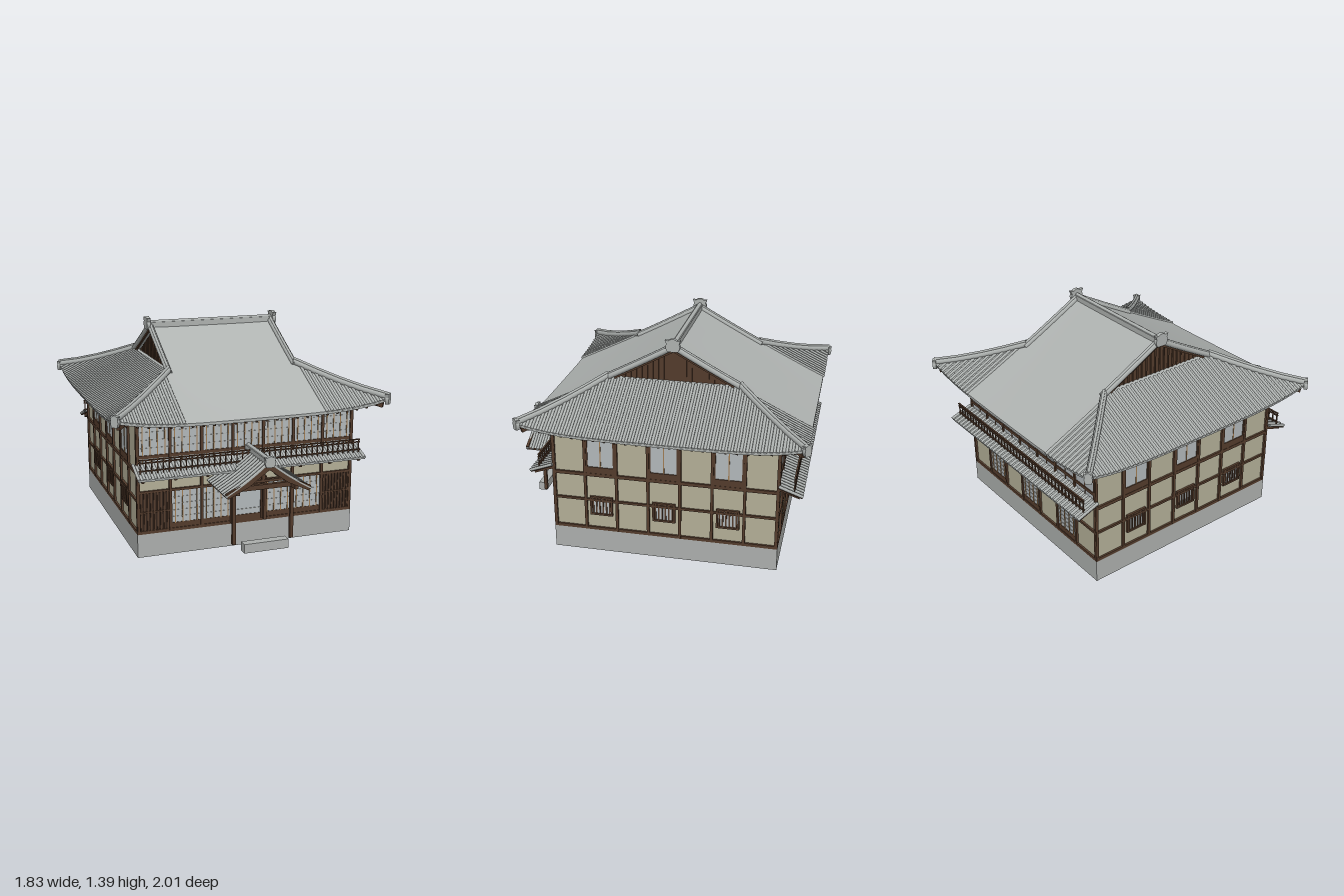
import * as THREE from 'three';
import { mergeGeometries } from 'three/addons/utils/BufferGeometryUtils.js';

const V = (x, y, z) => new THREE.Vector3(x, y, z);
const mat = (name, color, side = THREE.FrontSide) => {
  const m = new THREE.MeshStandardMaterial({ color, side });
  m.name = name;
  return m;
};

export function createModel() {
  const stone = mat('stone', 0xadb0ae);
  const plaster = mat('plaster', 0xb4b098);
  const timber = mat('timber', 0x543c2c, THREE.DoubleSide);
  const darkTimber = mat('dark timber', 0x32241b);
  const tile = mat('roof tile', 0xafb3b1, THREE.DoubleSide);
  const paper = mat('window paper', 0xb3b9bb);
  const lattice = mat('lattice wood', 0xa07c52);

  const root = new THREE.Group();
  root.name = 'house';
  const house = new THREE.Group();
  house.name = 'building';
  house.position.z = -0.095;
  root.add(house);

  const add = (parent, name, geo, m, x = 0, y = 0, z = 0) => {
    const mesh = new THREE.Mesh(geo, m);
    mesh.name = name;
    mesh.position.set(x, y, z);
    parent.add(mesh);
    return mesh;
  };
  const box = (parent, name, m, w, h, d, x, y, z) => add(parent, name, new THREE.BoxGeometry(w, h, d), m, x, y, z);
  // Box stretched between two points
  const beam = (parent, name, m, p, q, w, h) => {
    const mid = p.clone().add(q).multiplyScalar(0.5);
    const mesh = box(parent, name, m, w, h, p.distanceTo(q), mid.x, mid.y, mid.z);
    mesh.quaternion.setFromRotationMatrix(new THREE.Matrix4().lookAt(q, p, V(0, 1, 0)));
    return mesh;
  };
  // Curved sheet from a rule fn(u, v)
  const sheet = (parent, name, m, nu, nv, fn) => {
    const g = new THREE.PlaneGeometry(1, 1, nu, nv), p = g.attributes.position;
    for (let i = 0; i < p.count; i++) p.setXYZ(i, ...fn(p.getX(i) + 0.5, 0.5 - p.getY(i)).toArray());
    g.computeVertexNormals();
    return add(parent, name, g, m);
  };
  // Round tile roll along a path, capped at its lower end
  const roll = (pts, r, sides = 6) => {
    const curve = new THREE.CatmullRomCurve3(pts);
    const cap = new THREE.CircleGeometry(r, sides);
    cap.applyQuaternion(new THREE.Quaternion().setFromUnitVectors(V(0, 0, 1), curve.getTangent(1)));
    cap.translate(...curve.getPoint(1).toArray());
    return mergeGeometries([new THREE.TubeGeometry(curve, 4, r, sides), cap]);
  };
  const path = (n, fn) => Array.from({ length: n + 1 }, (_, i) => fn(i / n));
  // Horned end tile
  const ornament = (parent, w, h, x, y, z, turn) => {
    const s = new THREE.Shape();
    s.moveTo(-w * 0.32, 0);
    s.lineTo(w * 0.32, 0);
    s.quadraticCurveTo(w * 0.55, h * 0.35, w * 0.4, h * 0.6);
    s.lineTo(w * 0.5, h * 0.9);
    s.lineTo(w * 0.28, h * 0.86);
    s.quadraticCurveTo(0, h * 1.12, -w * 0.28, h * 0.86);
    s.lineTo(-w * 0.5, h * 0.9);
    s.lineTo(-w * 0.4, h * 0.6);
    s.quadraticCurveTo(-w * 0.55, h * 0.35, -w * 0.32, 0);
    const g = new THREE.ExtrudeGeometry(s, { depth: 0.024, bevelEnabled: false, curveSegments: 5 });
    g.translate(0, 0, -0.012);
    add(parent, 'endTile', g, tile, x, y, z).rotation.y = turn;
  };

  const W = 0.728, BAY = 1.434 / 7, EAVE = 0.885, HIP = 0.4425;
  const fall = (a) => 1.33 - 0.56 * a + 0.05 * a * a;
  const roofY = (a, b) => fall(a) + 0.055 * Math.pow(Math.abs(b) / EAVE, 4);

  // Core walls and floor
  box(house, 'walls', plaster, 1.43, 0.77, 1.43, 0, 0.535, 0);
  box(house, 'floor', stone, 1.44, 0.008, 1.44, 0, 0.146, 0);

  const bars = (g, name, m, x, y0, y1, w, n, z, t) => {
    for (let i = 0; i < n; i++) box(g, name, m, t, y1 - y0, 0.006, x - w / 2 + (w * (i + 0.5)) / n, (y0 + y1) / 2, z);
  };
  const slidingScreen = (g, x, y0, y1) => {
    box(g, 'screen', paper, 0.19, y1 - y0, 0.006, x, (y0 + y1) / 2, 0.717);
    bars(g, 'screenBar', lattice, x, y0, y1, 0.19, 4, 0.721, 0.006);
    for (let i = 1; i < 5; i++) box(g, 'screenRung', stone, 0.185, 0.003, 0.004, x, y0 + ((y1 - y0) * i) / 5, 0.721);
  };

  for (let k = 0; k < 4; k++) {
    const g = new THREE.Group();
    g.name = ['frontSide', 'leftSide', 'backSide', 'rightSide'][k];
    g.rotation.y = (k * Math.PI) / 2;
    house.add(g);
    const gabled = k % 2 === 1;

    // Foundation and timber frame
    box(g, 'foundation', stone, 2 * W, 0.15, 0.008, 0, 0.075, W - 0.004);
    const midY = k === 0 ? 0.42 : 0.365;
    for (const [y, h] of [[0.16, 0.02], [midY, 0.015], [0.545, 0.022], [0.86, 0.025]])
      box(g, 'rail', timber, 2 * W, h, 0.02, 0, y, W - 0.01);
    for (let i = 0; i < 8; i++) box(g, 'post', timber, 0.018, 0.71, 0.022, (i - 3.5) * BAY, 0.51, W - 0.01);

    // Windows, bay by bay
    for (let i = 0; i < 7; i++) {
      const x = (i - 3) * BAY, odd = i % 2 === 1;
      if (gabled && odd) {
        box(g, 'upperWindow', paper, 0.175, 0.25, 0.006, x, 0.725, 0.717);
        box(g, 'windowApron', timber, 0.19, 0.05, 0.012, x, 0.575, 0.72);
        for (const s of [-1, 1]) box(g, 'windowJamb', timber, 0.01, 0.25, 0.012, x + s * 0.088, 0.725, 0.72);
        box(g, 'mullion', lattice, 0.007, 0.25, 0.008, x, 0.725, 0.719);
        box(g, 'lowerWindow', paper, 0.14, 0.12, 0.006, x, 0.325, 0.717);
        for (const s of [-1, 1]) {
          box(g, 'windowFrame', timber, 0.148, 0.012, 0.016, x, 0.325 + s * 0.06, 0.722);
          box(g, 'windowFrame', timber, 0.012, 0.13, 0.016, x + s * 0.068, 0.325, 0.722);
        }
        bars(g, 'windowBar', timber, x, 0.265, 0.385, 0.13, 6, 0.724, 0.009);
      }
      if (!gabled) {
        if (k === 0) slidingScreen(g, x, 0.6, 0.85);
        else {
          box(g, 'upperWindow', paper, 0.19, 0.25, 0.006, x, 0.725, 0.717);
          box(g, 'mullion', timber, 0.007, 0.25, 0.008, x, 0.725, 0.719);
        }
        box(g, 'windowSill', timber, 0.19, 0.02, 0.012, x, 0.645, 0.72);
      }
      if (k === 0 && (i === 0 || i === 6)) {
        box(g, 'slatBacking', darkTimber, 0.19, 0.25, 0.006, x, 0.29, 0.717);
        bars(g, 'slat', timber, x, 0.165, 0.415, 0.19, 9, 0.724, 0.009);
        box(g, 'slatRail', timber, 0.19, 0.01, 0.01, x, 0.29, 0.724);
      } else if ((k === 0 && i !== 3) || (k === 2 && odd)) {
        slidingScreen(g, x, 0.2, midY - 0.007);
        box(g, 'screenFoot', timber, 0.19, 0.035, 0.008, x, 0.187, 0.719);
      }
    }

    // Main roof slope: sheet, eave edge, soffit, rafters and tile rolls
    const top = gabled ? 0.39 : 0;
    const half = (a) => (gabled ? Math.max(a, 0.41) : Math.max(a, HIP));
    sheet(g, 'roofSlope', tile, 24, 10, (u, v) => {
      const a = top + (EAVE - top) * v, b = (2 * u - 1) * half(a);
      return V(b, roofY(gabled ? Math.max(a, 0.43) : a, b), a);
    });
    sheet(g, 'eaveEdge', tile, 24, 1, (u, v) => {
      const b = (2 * u - 1) * EAVE;
      return V(b, roofY(EAVE, b) - 0.018 * v, EAVE);
    });
    sheet(g, 'soffit', timber, 24, 3, (u, v) => {
      const a = 0.7 + (EAVE - 0.7) * v, b = (2 * u - 1) * a;
      return V(b, roofY(a, b) - 0.018, a);
    });
    for (let i = -12; i <= 12; i++) {
      const b = i * 0.068, a = Math.max(0.7, Math.abs(b));
      beam(g, 'rafter', timber, V(b, roofY(a, b) - 0.03, a), V(b, roofY(0.87, b) - 0.03, 0.87), 0.014, 0.02);
    }
    const rolls = [];
    for (let i = -24; i <= 24; i++) {
      const b = i * 0.0358, m = Math.abs(b);
      if (!gabled && m < 0.445) continue;
      const a0 = Math.max(m, 0.43);
      rolls.push(roll(path(3, (t) => {
        const a = a0 + (EAVE + 0.006 - a0) * t;
        return V(b, roofY(a, b) + 0.001, a);
      }), 0.0105));
    }
    add(g, 'tileRolls', mergeGeometries(rolls), tile);

    // Hip ridge at one corner of each side
    const hip = (t, lift) => {
      const a = 0.43 + (0.885 - 0.43) * t;
      return V(a, roofY(a, a) + lift, a);
    };
    add(g, 'hipRidge', roll(path(5, (t) => hip(t, 0.012)), 0.021, 8), tile);
    add(g, 'hipRidgeCap', roll(path(5, (t) => hip(t, 0.032)), 0.01, 6), tile);
    ornament(g, 0.055, 0.075, 0.886, 0.892, 0.886, Math.PI / 4);
    beam(g, 'hipRafter', timber, V(0.7, 0.935, 0.7), V(0.865, 0.88, 0.865), 0.025, 0.028);

    if (gabled) {
      // Gable wall with slats, and the ridges running down its edges
      const s = new THREE.Shape([new THREE.Vector2(-0.42, 1.085), new THREE.Vector2(0.42, 1.085), new THREE.Vector2(0, 1.32)]);
      add(g, 'gable', new THREE.ExtrudeGeometry(s, { depth: 0.01, bevelEnabled: false }), timber, 0, 0, 0.385);
      for (let i = -10; i <= 10; i++) {
        const x = i * 0.036, h = 0.225 * (1 - Math.abs(x) / 0.42);
        box(g, 'gableSlat', timber, 0.01, h, 0.008, x, 1.085 + h / 2, 0.397);
      }
      for (const m of [-1, 1]) {
        const edge = (t, lift) => V(m * 0.445 * t, fall(0.445 * t) + lift, 0.43);
        add(g, 'gableRidge', roll(path(4, (t) => edge(t, 0.006)), 0.021, 8), tile);
        add(g, 'gableRidgeCap', roll(path(4, (t) => edge(t, 0.024)), 0.01, 6), tile);
        beam(g, 'bargeBoard', timber, V(0, 1.312, 0.43), V(m * 0.41, fall(0.41) - 0.018, 0.43), 0.012, 0.02);
      }
      ornament(g, 0.1, 0.085, 0, 1.31, 0.448, 0);
    } else {
      // Pent roof below the balcony
      const pent = (t) => 0.602 - 0.055 * t;
      sheet(g, 'pentRoof', tile, 1, 1, (u, v) => V((2 * u - 1) * 0.75, pent(v), 0.72 + 0.145 * v));
      sheet(g, 'pentEdge', tile, 1, 1, (u, v) => V((2 * u - 1) * 0.75, pent(1) - 0.012 * v, 0.865));
      sheet(g, 'pentSoffit', timber, 1, 1, (u, v) => V((2 * u - 1) * 0.75, pent(v) - 0.012, 0.72 + 0.145 * v));
      const pentRolls = [];
      for (let i = -21; i <= 21; i++)
        pentRolls.push(roll(path(2, (t) => V(i * 0.0355, pent(t) + 0.001, 0.72 + 0.15 * t)), 0.01));
      add(g, 'pentRolls', mergeGeometries(pentRolls), tile);
      for (let i = 0; i < 8; i++) {
        const x = (i - 3.5) * BAY;
        beam(g, 'bracket', timber, V(x, 0.578, 0.72), V(x, 0.532, 0.85), 0.018, 0.025);
      }
      // Balcony railing
      for (const y of [0.588, 0.638, 0.655]) box(g, 'handrail', timber, 1.47, 0.007, 0.01, 0, y, 0.815);
      for (let i = -20; i <= 20; i++) box(g, 'baluster', timber, 0.007, 0.085, 0.007, i * 0.0363, 0.612, 0.815);
    }
  }

  // Main ridge
  box(house, 'mainRidge', tile, 0.88, 0.045, 0.04, 0, 1.332, 0);
  add(house, 'mainRidgeCap', roll([V(-0.445, 1.353, 0), V(0, 1.353, 0), V(0.445, 1.353, 0)], 0.014, 8), tile);

  // Entrance door
  const porch = new THREE.Group();
  porch.name = 'porch';
  house.add(porch);
  box(porch, 'door', paper, 0.19, 0.25, 0.008, 0, 0.3, 0.722);
  box(porch, 'doorFoot', timber, 0.19, 0.035, 0.012, 0, 0.187, 0.724);
  box(porch, 'doorHead', timber, 0.24, 0.018, 0.03, 0, 0.44, 0.735);
  box(porch, 'doorLintel', timber, 0.2, 0.015, 0.025, 0, 0.4, 0.732);
  for (const s of [-1, 1]) {
    box(porch, 'doorFrame', timber, 0.02, 0.28, 0.03, s * 0.11, 0.3, 0.735);
    box(porch, 'doorStile', timber, 0.01, 0.23, 0.02, s * 0.09, 0.285, 0.73);
  }
  box(porch, 'doorRung', stone, 0.18, 0.004, 0.006, 0, 0.24, 0.727);
  box(porch, 'step', stone, 0.29, 0.058, 0.056, 0, 0.105, 1.022);

  // Porch frame and roof
  const porchY = (x) => 0.645 - 0.82 * x + 0.5 * x * x;
  for (const s of [-1, 1]) {
    box(porch, 'porchPost', timber, 0.022, 0.36, 0.022, s * 0.19, 0.295, 0.98);
    box(porch, 'sideBeam', timber, 0.022, 0.025, 0.33, s * 0.19, 0.465, 0.89);
    box(porch, 'eaveBeam', timber, 0.015, 0.014, 0.34, s * 0.262, 0.456, 0.9);
    sheet(porch, 'porchSlope', tile, 4, 1, (u, v) => V(s * 0.27 * u, porchY(0.27 * u), 0.72 + 0.36 * v));
    sheet(porch, 'porchSoffit', timber, 4, 1, (u, v) => V(s * 0.265 * u, porchY(0.265 * u) - 0.01, 0.72 + 0.355 * v));
    const rolls = [];
    for (let i = 0; i < 10; i++)
      rolls.push(roll(path(3, (t) => V(s * 0.275 * t, porchY(0.275 * t) + 0.001, 0.745 + i * 0.0362)), 0.0105));
    add(porch, 'porchRolls', mergeGeometries(rolls), tile);
    beam(porch, 'porchBarge', timber, V(0, 0.622, 1.07), V(s * 0.14, porchY(0.14) - 0.02, 1.07), 0.018, 0.034);
    beam(porch, 'porchBarge', timber, V(s * 0.135, porchY(0.135) - 0.02, 1.07), V(s * 0.268, 0.46, 1.07), 0.018, 0.034);
  }
  box(porch, 'crossBeam', timber, 0.42, 0.03, 0.025, 0, 0.468, 0.98);
  box(porch, 'upperCrossBeam', timber, 0.3, 0.016, 0.022, 0, 0.505, 0.98);
  box(porch, 'kingPost', timber, 0.022, 0.12, 0.02, 0, 0.56, 0.98);
  box(porch, 'porchRidge', tile, 0.042, 0.035, 0.35, 0, 0.648, 0.9);
  add(porch, 'porchRidgeCap', roll([V(0, 0.664, 0.73), V(0, 0.664, 0.9), V(0, 0.664, 1.08)], 0.014, 8), tile);
  ornament(porch, 0.072, 0.07, 0, 0.62, 1.083, 0);

  return root;
}
